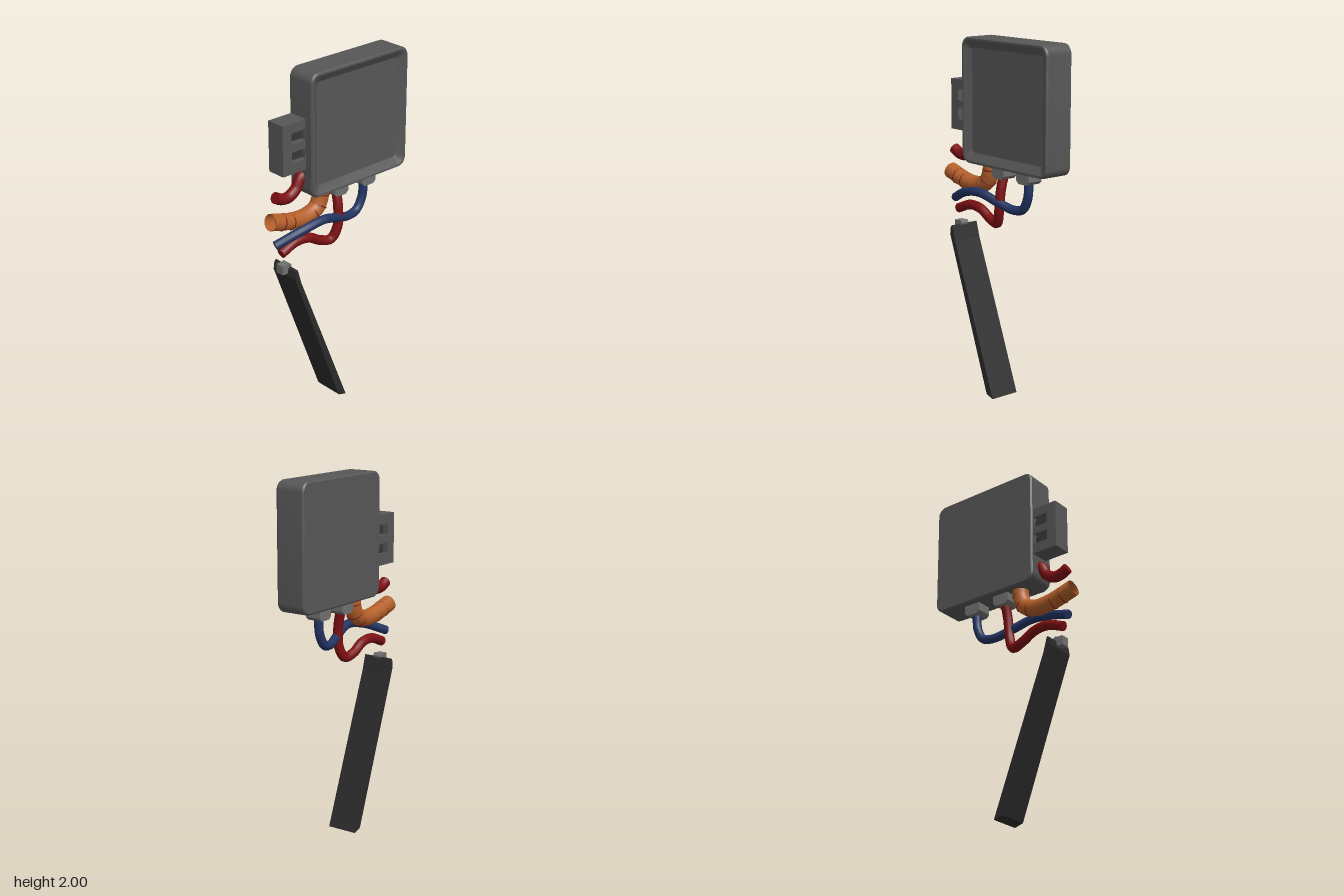
import * as THREE from 'three';
import { toCreasedNormals } from 'three/addons/utils/BufferGeometryUtils.js';

const V = (x, y, z = 0) => new THREE.Vector3(x, y, z);

function mat(name, color, side = THREE.FrontSide) {
  const m = new THREE.MeshStandardMaterial({ color, side });
  m.name = name;
  return m;
}

// Rounded square outline, running counter-clockwise
function roundedLoop(half, radius, z, cx, cy, seg = 6) {
  const pts = [];
  for (let c = 0; c < 4; c++) {
    const sx = c === 0 || c === 3 ? 1 : -1, sy = c < 2 ? 1 : -1;
    for (let i = 0; i <= seg; i++) {
      const a = (c + i / seg) * Math.PI / 2;
      pts.push(V(cx + sx * (half - radius) + radius * Math.cos(a), cy + sy * (half - radius) + radius * Math.sin(a), z));
    }
  }
  return pts;
}

// Skin through loops ordered back to front, closed by a fan at each end
function loft(loops, cx, cy) {
  const pos = [];
  const tri = (...p) => p.forEach(v => pos.push(v.x, v.y, v.z));
  const n = loops[0].length, first = loops[0], last = loops[loops.length - 1];
  const back = V(cx, cy, first[0].z), front = V(cx, cy, last[0].z);
  for (let i = 0; i < n; i++) {
    const j = (i + 1) % n;
    tri(back, first[j], first[i]);
    tri(front, last[i], last[j]);
    for (let k = 0; k < loops.length - 1; k++) {
      const a = loops[k], b = loops[k + 1];
      tri(a[i], a[j], b[j]);
      tri(a[i], b[j], b[i]);
    }
  }
  const g = new THREE.BufferGeometry();
  g.setAttribute('position', new THREE.Float32BufferAttribute(pos, 3));
  return toCreasedNormals(g, 0.4);
}

function polygon(points) {
  return new THREE.Shape(points.map(([x, y]) => new THREE.Vector2(x, y)));
}

function extrude(shape, z0, z1) {
  return new THREE.ExtrudeGeometry(shape, { depth: z1 - z0, bevelEnabled: false }).translate(0, 0, z0);
}

export function createModel() {
  const model = new THREE.Group();
  const casing = mat('casing grey', 0x575757);
  const fitting = mat('fitting grey', 0x707070);
  const recess = mat('recess grey', 0x383838);
  const black = mat('flap black', 0x2b2b2b);
  const red = mat('cable red', 0x7c1012);
  const blue = mat('cable blue', 0x223462);
  const orange = mat('conduit orange', 0xb4602a, THREE.DoubleSide);

  const add = (name, geometry, material, parent = model) => {
    const mesh = new THREE.Mesh(geometry, material);
    mesh.name = name;
    parent.add(mesh);
    return mesh;
  };

  // Square housing with a shallow sunken front
  const cx = 0.112, cy = 1.657;
  const sections = [[0.335, 0.045, -0.083], [0.343, 0.052, -0.075], [0.343, 0.052, 0.08],
    [0.337, 0.048, 0.09], [0.327, 0.042, 0.09], [0.285, 0.02, 0.062]];
  add('housing', loft(sections.map(([h, r, z]) => roundedLoop(h, r, z, cx, cy)), cx, cy), casing);

  // Side connector with two windows
  const block = polygon([[-0.385, 1.475], [-0.22, 1.475], [-0.22, 1.755], [-0.385, 1.755]]);
  for (const y of [1.565, 1.67]) {
    block.holes.push(polygon([[-0.325, y - 0.03], [-0.325, y + 0.03], [-0.235, y + 0.03], [-0.235, y - 0.03]]));
    add('connectorContact', new THREE.BoxGeometry(0.075, 0.035, 0.07).translate(-0.27, y, -0.015), recess);
  }
  add('connector', extrude(block, -0.07, 0.04), casing);
  add('connectorCore', new THREE.BoxGeometry(0.1, 0.17, 0.05).translate(-0.28, 1.617, -0.015), recess);

  // Cable glands with chamfered lower corners
  for (const x of [0.017, 0.22]) {
    const gland = polygon([[x - 0.05, 1.32], [x - 0.05, 1.268], [x - 0.032, 1.25],
      [x + 0.032, 1.25], [x + 0.05, 1.268], [x + 0.05, 1.32]]);
    add('cableGland', extrude(gland, -0.046, 0.046), fitting);
  }

  // Cables
  const cable = (name, points, radius, material, capped = true) => {
    const group = new THREE.Group();
    group.name = name;
    const curve = new THREE.CatmullRomCurve3(points, false, 'centripetal');
    add(name + 'Sleeve', new THREE.TubeGeometry(curve, 48, radius, 14), material, group);
    if (capped) {
      const cap = add(name + 'End', new THREE.CircleGeometry(radius, 14), material, group);
      cap.position.copy(curve.getPoint(1));
      cap.quaternion.setFromUnitVectors(V(0, 0, 1), curve.getTangent(1));
    }
    model.add(group);
    return curve;
  };
  cable('shortRedCable', [V(-0.18, 1.43), V(-0.23, 1.42), V(-0.27, 1.36), V(-0.32, 1.33),
    V(-0.365, 1.333), V(-0.41, 1.355)], 0.031, red);
  cable('longRedCable', [V(0.017, 1.27), V(0.014, 1.18, 0.02), V(0.005, 1.06, 0.025), V(-0.03, 0.992, 0.01),
    V(-0.1, 1.005), V(-0.18, 1.047), V(-0.27, 1.055), V(-0.375, 1.018)], 0.027, red);
  cable('blueCable', [V(0.22, 1.27), V(0.212, 1.17), V(0.17, 1.1), V(0.1, 1.09, 0.01),
    V(0, 1.12, 0.035), V(-0.12, 1.155, 0.055), V(-0.26, 1.135, 0.045), V(-0.41, 1.075, -0.005)], 0.025, blue);
  const conduit = cable('orangeConduit', [V(-0.09, 1.33), V(-0.095, 1.27), V(-0.125, 1.21),
    V(-0.2, 1.182), V(-0.3, 1.187), V(-0.445, 1.225)], 0.046, orange, false);

  // Thin bands showing on the outer side of the conduit
  for (const t of [0.1, 0.24, 0.36, 0.7, 0.84]) {
    const band = add('conduitBand', new THREE.TorusGeometry(0.044, 0.0035, 5, 24), red);
    band.position.copy(conduit.getPointAt(t)).add(V(0.002, -0.002, 0.001));
    band.quaternion.setFromUnitVectors(V(0, 0, 1), conduit.getTangentAt(t));
  }

  // Slanted flap and its hinge clip
  const flap = polygon([[-0.352, 0.885], [-0.034, 0.02], [0.018, 0.004], [-0.308, 0.85], [-0.333, 0.937], [-0.345, 0.93]]);
  add('flap', extrude(flap, -0.093, 0.083), black);
  add('hingeClip', new THREE.BoxGeometry(0.05, 0.052, 0.05).translate(-0.36, 0.926, -0.003), fitting);
  add('hingePin', new THREE.CylinderGeometry(0.016, 0.016, 0.05, 12).rotateX(Math.PI / 2).translate(-0.34, 0.94, -0.003), fitting);

  return model;
}
